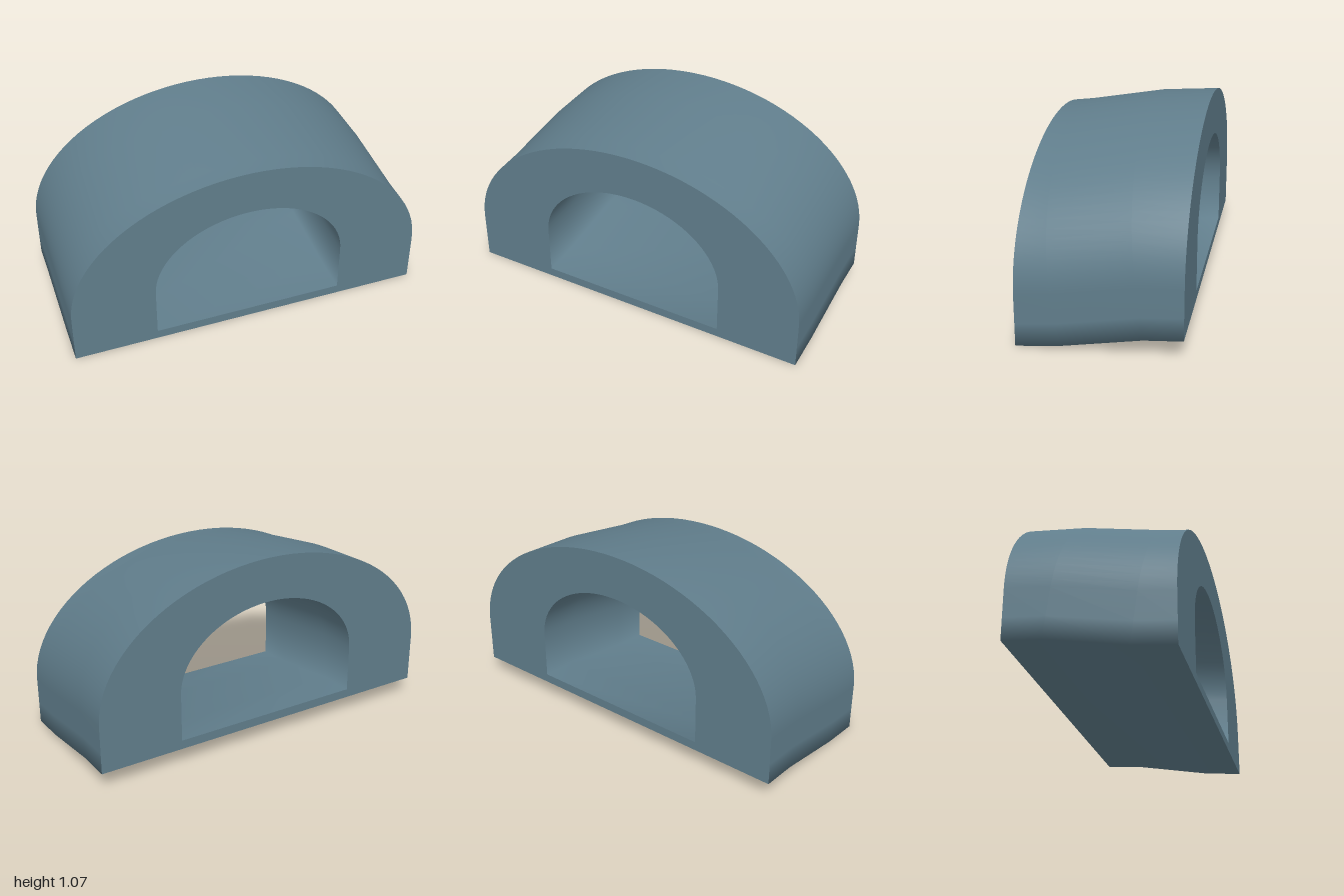
import * as THREE from 'three';

// Cross-section: flat base, short straight sides, elliptical crown (anticlockwise)
function archRing(halfWidth, floor, sideYs, springY, rise, steps) {
  const pts = [new THREE.Vector2(-halfWidth, floor), new THREE.Vector2(halfWidth, floor)];
  for (const y of sideYs) pts.push(new THREE.Vector2(halfWidth, y));
  for (let i = 0; i <= steps; i++) {
    const a = (i / steps) * Math.PI;
    pts.push(new THREE.Vector2(halfWidth * Math.cos(a), springY + rise * Math.sin(a)));
  }
  for (const y of [...sideYs].reverse()) pts.push(new THREE.Vector2(-halfWidth, y));
  return pts;
}

// Stations of the rising path: z, lift and lean of the section
const stations = [
  { z: 0.42, lift: 0, lean: 0 },
  { z: 0.2, lift: 0.02, lean: 0.126 },
  { z: -0.22, lift: 0.092, lean: 0.126 },
  { z: -0.42, lift: 0.106, lean: 0 },
];

// Loft a closed ring through the stations, with shared smooth normals
function sweep(ring) {
  const n = ring.length, pos = [], index = [];
  for (const { z, lift, lean } of stations) {
    const shrink = 1 / Math.hypot(1, lean);
    for (const p of ring) {
      const h = p.y * shrink;
      pos.push(p.x, lift + h, z + lean * h);
    }
  }
  for (let s = 0; s < stations.length - 1; s++) {
    for (let i = 0; i < n; i++) {
      const j = (i + 1) % n;
      const a = s * n + i, b = s * n + j, c = a + n, d = b + n;
      index.push(a, c, b, b, c, d);
    }
  }
  const g = new THREE.BufferGeometry();
  g.setAttribute('position', new THREE.Float32BufferAttribute(pos, 3));
  g.setIndex(index);
  g.computeVertexNormals();
  return g;
}

export function createModel() {
  const group = new THREE.Group();
  group.name = 'archTunnel';
  const slate = new THREE.MeshStandardMaterial({ color: 0x607d8b });
  slate.name = 'slateBlue';

  const add = (geometry, name) => {
    const mesh = new THREE.Mesh(geometry, slate);
    mesh.name = name;
    group.add(mesh);
    return mesh;
  };

  const outer = archRing(1, 0, [0.12], 0.27, 0.692, 48);
  const inner = archRing(0.54, 0.05, [], 0.32, 0.4, 40);

  // Outer shell and tunnel lining
  add(sweep(outer), 'outerShell');
  add(sweep([...inner].reverse()), 'tunnelLining');

  // Flat end faces with the tunnel opening
  const face = new THREE.Shape(outer);
  face.holes.push(new THREE.Path([...inner].reverse()));
  const front = stations[0], back = stations[stations.length - 1];
  add(new THREE.ShapeGeometry(face), 'frontFace').position.set(0, front.lift, front.z);
  const backFace = add(new THREE.ShapeGeometry(face), 'backFace');
  backFace.rotation.y = Math.PI;
  backFace.position.set(0, back.lift, back.z);

  return group;
}
